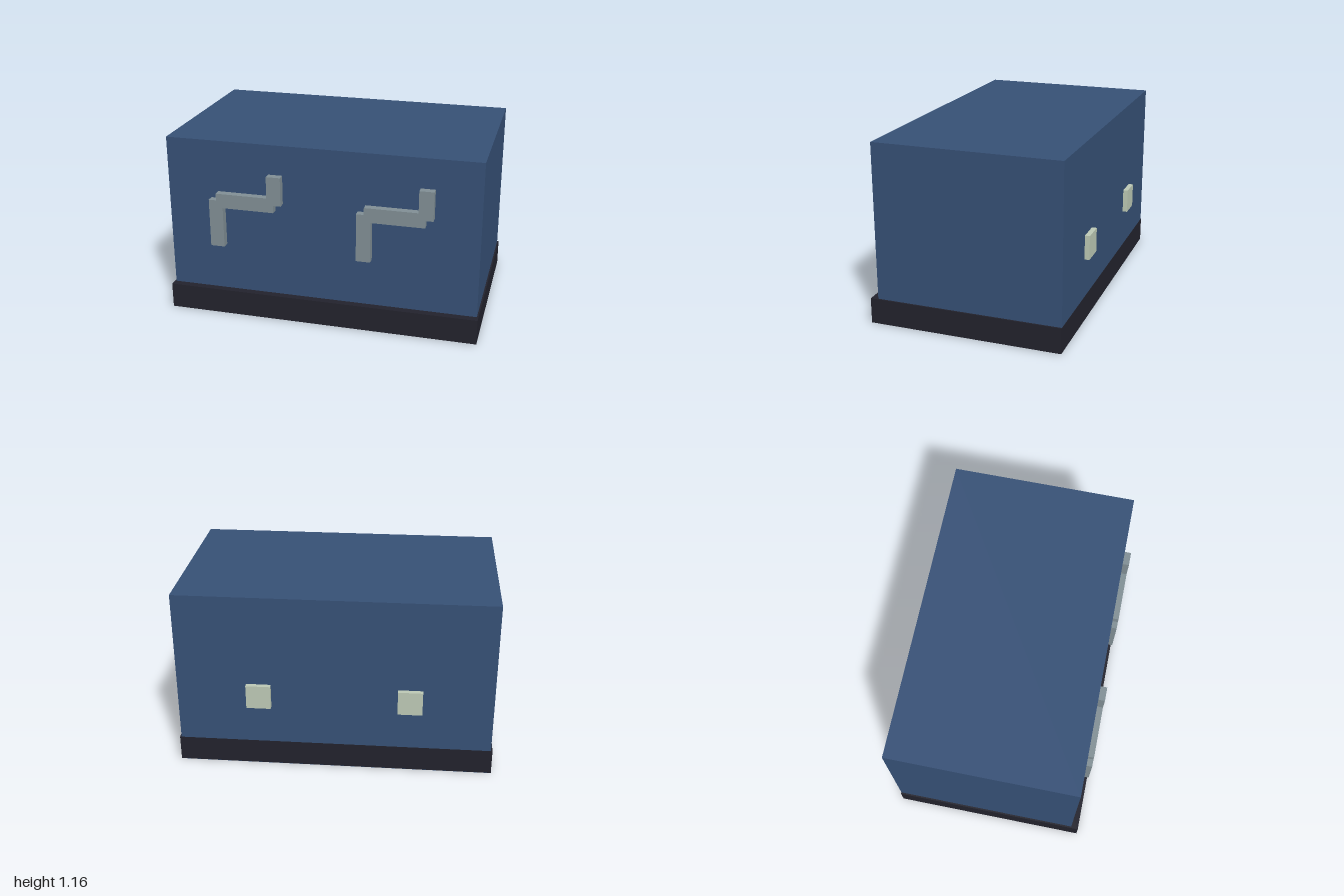
import * as THREE from 'three';

const material = (name, color) => {
  const m = new THREE.MeshStandardMaterial({ color });
  m.name = name;
  return m;
};

// Box given by its minimum and maximum corners
function box(name, mat, [x0, y0, z0], [x1, y1, z1]) {
  const mesh = new THREE.Mesh(new THREE.BoxGeometry(x1 - x0, y1 - y0, z1 - z0), mat);
  mesh.position.set((x0 + x1) / 2, (y0 + y1) / 2, (z0 + z1) / 2);
  mesh.name = name;
  return mesh;
}

export function createModel() {
  const blue = material('blue', 0x365075);
  const black = material('black', 0x22222c);
  const grey = material('grey', 0x808e94);
  const paleGreen = material('pale green', 0xbcc8b4);

  const model = new THREE.Group();
  model.name = 'cabinet';

  // Body, inset a hair at the back so the plinth covers it there
  model.add(box('body', blue, [-0.99, 0, -0.599], [0.99, 1.16, 0.583]));

  // Plinth around the foot of the body, flush at the back
  model.add(box('plinth', black, [-1, 0.002, -0.6], [1, 0.165, 0.63]));

  // Stepped pipes on the front
  const outline = [
    [-0.235, -0.325], [-0.145, -0.325], [-0.145, -0.063], [0.187, -0.063],
    [0.187, -0.015], [0.235, -0.015], [0.235, 0.17], [0.145, 0.17],
    [0.145, 0.03], [-0.187, 0.03], [-0.187, -0.015], [-0.235, -0.015],
  ].map(([x, y]) => new THREE.Vector2(x, y));
  const pipeGeometry = new THREE.ExtrudeGeometry(new THREE.Shape(outline), {
    depth: 0.05, bevelEnabled: false,
  });
  for (const [side, x] of [['right', -0.473], ['left', 0.473]]) {
    const pipe = new THREE.Mesh(pipeGeometry, grey);
    pipe.name = `${side}FrontPipe`;
    pipe.position.set(x, 0.8, 0.58);
    model.add(pipe);
  }

  // Square plates on the back
  for (const [side, x] of [['right', -0.473], ['left', 0.473]]) {
    model.add(box(`${side}BackPlate`, paleGreen,
      [x - 0.077, 0.42, -0.63], [x + 0.077, 0.575, -0.59]));
  }

  return model;
}
